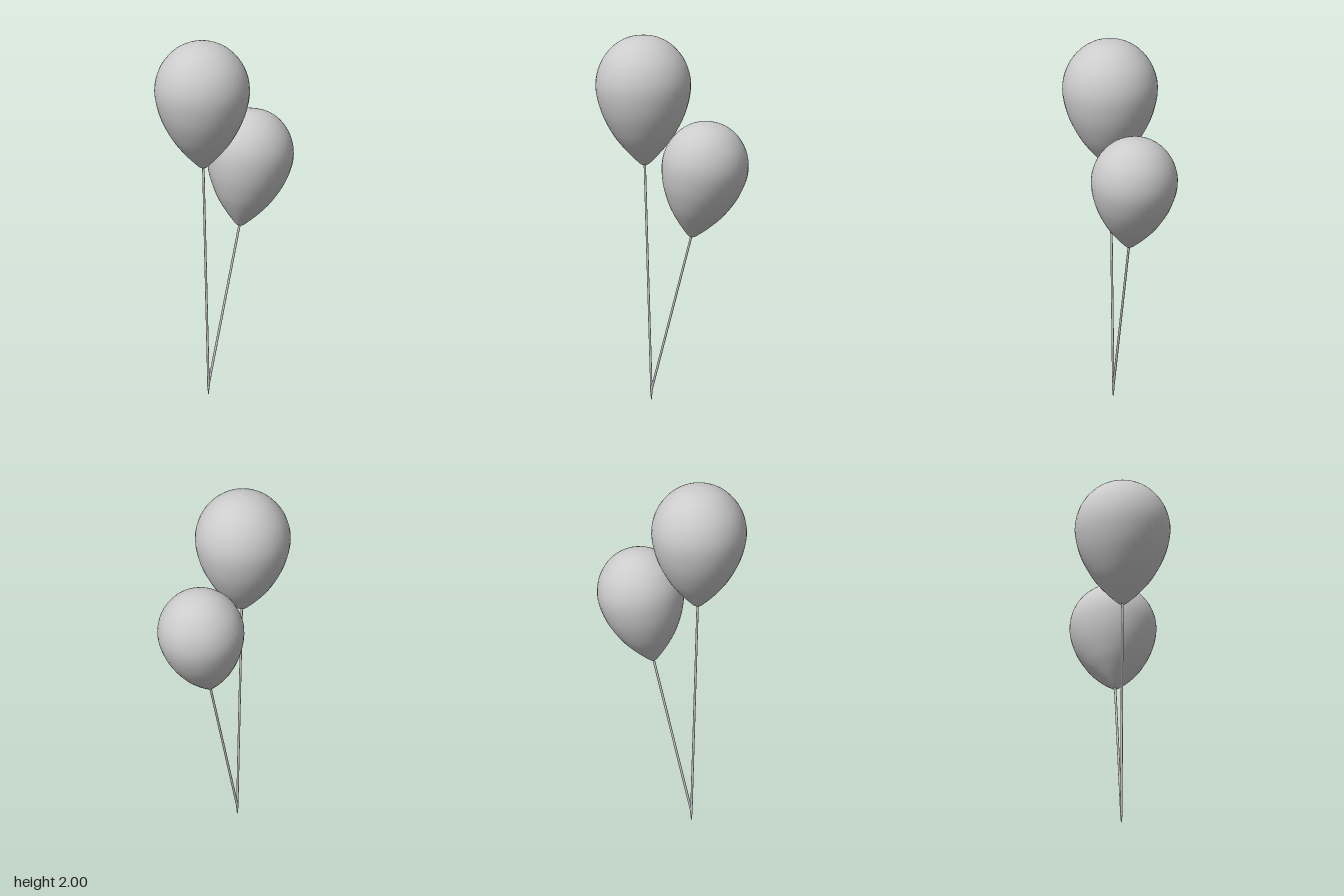
import * as THREE from 'three';

const material = new THREE.MeshStandardMaterial({ color: 0xcccccc });

// Teardrop profile, from the tip (0, 0) up to the crown
const profile = new THREE.SplineCurve([
  [0, 0], [0.02, 0.006], [0.047, 0.03], [0.105, 0.09], [0.17, 0.175], [0.232, 0.3],
  [0.26, 0.44], [0.234, 0.56], [0.168, 0.65], [0.086, 0.7], [0, 0.715],
].map(([r, h]) => new THREE.Vector2(r, h)));

function addMesh(parent, name, geometry) {
  const mesh = new THREE.Mesh(geometry, material);
  mesh.name = name;
  parent.add(mesh);
  return mesh;
}

// Thin straight rod between two points
function addRod(parent, name, from, to, rFrom, rTo) {
  const dir = to.clone().sub(from);
  const rod = addMesh(parent, name, new THREE.CylinderGeometry(rTo, rFrom, dir.length(), 10));
  rod.position.copy(from).addScaledVector(dir, 0.5);
  rod.quaternion.setFromUnitVectors(new THREE.Vector3(0, 1, 0), dir.normalize());
}

export function createModel() {
  const model = new THREE.Group();
  model.name = 'balloons';
  const end = new THREE.Vector3(0, 0, 0.119);
  const join = new THREE.Vector3(0, 0.05, 0.119);

  const points = profile.getPoints(40);
  points.forEach((p) => { p.x = Math.max(p.x, 0); });
  points[0].x = points[points.length - 1].x = 0;

  const balloons = [
    { name: 'largeBalloon', tip: [0, 1.285, 0.157], tilt: 0.02, scale: 1 },
    { name: 'smallBalloon', tip: [0, 0.905, -0.11], tilt: -0.2, scale: 0.908 },
  ];
  for (const { name, tip, tilt, scale } of balloons) {
    const group = new THREE.Group();
    group.name = name;
    const body = addMesh(group, name + 'Body', new THREE.LatheGeometry(points, 40));
    body.position.set(...tip);
    body.rotation.x = tilt;
    body.scale.setScalar(scale);
    // The string runs slightly into the tip
    const top = new THREE.Vector3(...tip).add(new THREE.Vector3(0, 0.02, 0.02 * tilt));
    addRod(group, name + 'String', join, top, 0.0065, 0.0065);
    model.add(group);
  }

  // Strings gathered into a pointed end
  addRod(model, 'stringEnd', end, join, 0.002, 0.0075);
  return model;
}
